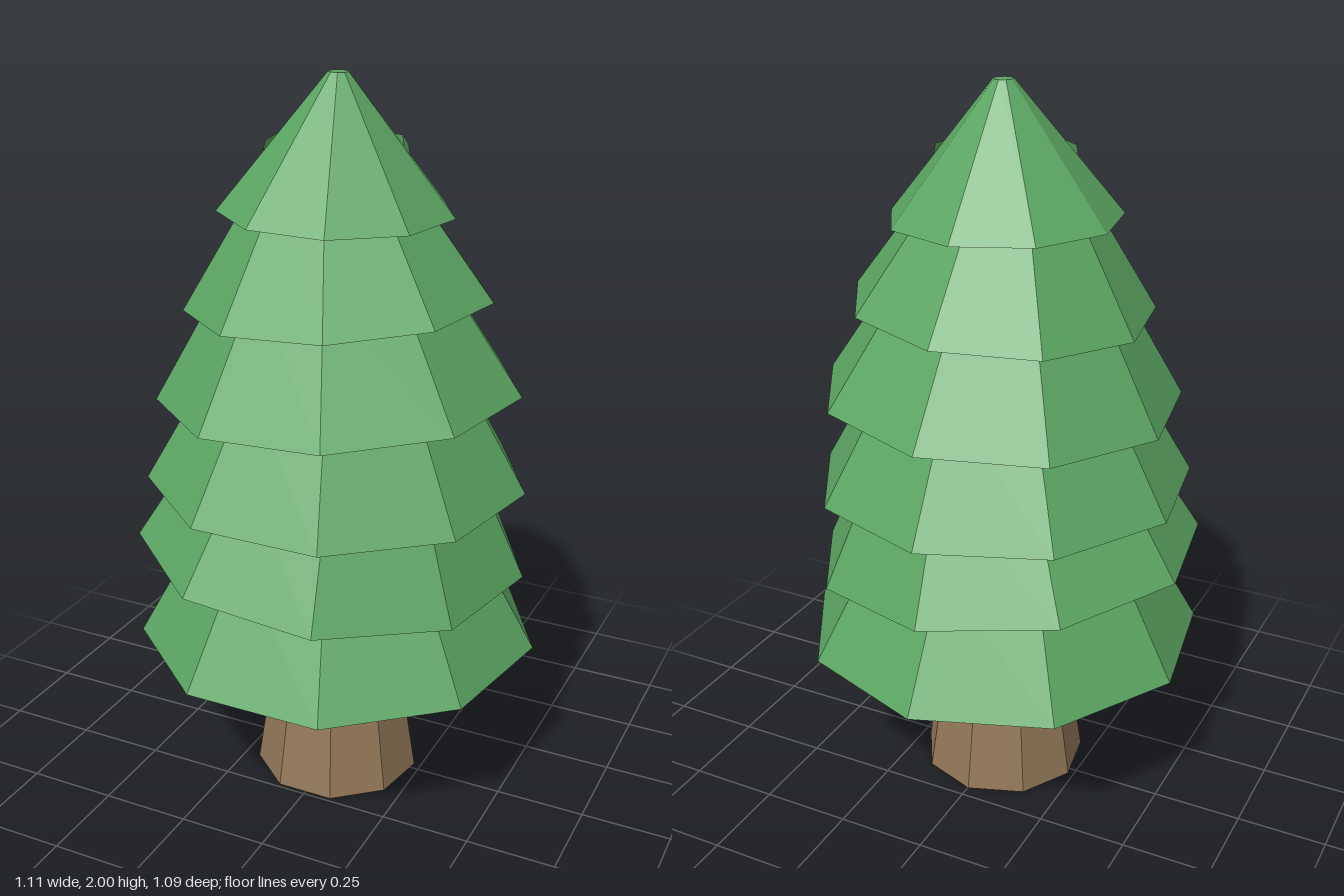
import * as THREE from 'three';

const SIDES = 9;

// Nine-sided solid of revolution with a corner pointing to the back
function turned(name, profile, material) {
  const points = profile.map(([r, y]) => new THREE.Vector2(r, y));
  const mesh = new THREE.Mesh(new THREE.LatheGeometry(points, SIDES, Math.PI), material);
  mesh.name = name;
  return mesh;
}

export function createModel() {
  const group = new THREE.Group();
  group.name = 'pineTree';
  const leaf = new THREE.MeshStandardMaterial({ color: 0x5ca663, flatShading: true });
  const bark = new THREE.MeshStandardMaterial({ color: 0x937859, flatShading: true });

  // Tapered trunk, running up into the lowest tier
  const trunk = turned('trunk', [[0, 0], [0.235, 0], [0.137, 0.64], [0, 0.64]], bark);
  trunk.position.set(-0.002, 0, 0.018);
  group.add(trunk);

  // Foliage tiers: rim height, rim radius, top radius, height, tilt in degrees, x, z
  const tiers = [
    [0.445, 0.562, 0.37, 0.34, 0, 0, 0.0145],
    [0.705, 0.543, 0.355, 0.34, -4.8, -0.018, 0.015],
    [0.915, 0.522, 0.32, 0.35, -0.5, -0.003, 0.015],
    [1.165, 0.494, 0.27, 0.36, 2.4, 0.005, 0.017],
    [1.413, 0.411, 0.19, 0.33, 3.2, 0.004, 0.019],
    [1.65, 0.312, 0.027, 0.35, -0.8, -0.005, 0.014],
  ];
  tiers.forEach(([y, rim, top, height, tilt, x, z], i) => {
    // Hollowed underside, flat rim, sloping outside, flat cap
    const tier = turned('foliageTier' + (i + 1), [
      [0, 0.18], [rim * 0.59, 0.18], [rim * 0.69, 0],
      [rim, 0], [top, height], [0, height],
    ], leaf);
    tier.position.set(x, y, z);
    tier.rotation.z = THREE.MathUtils.degToRad(tilt);
    group.add(tier);
  });

  return group;
}
